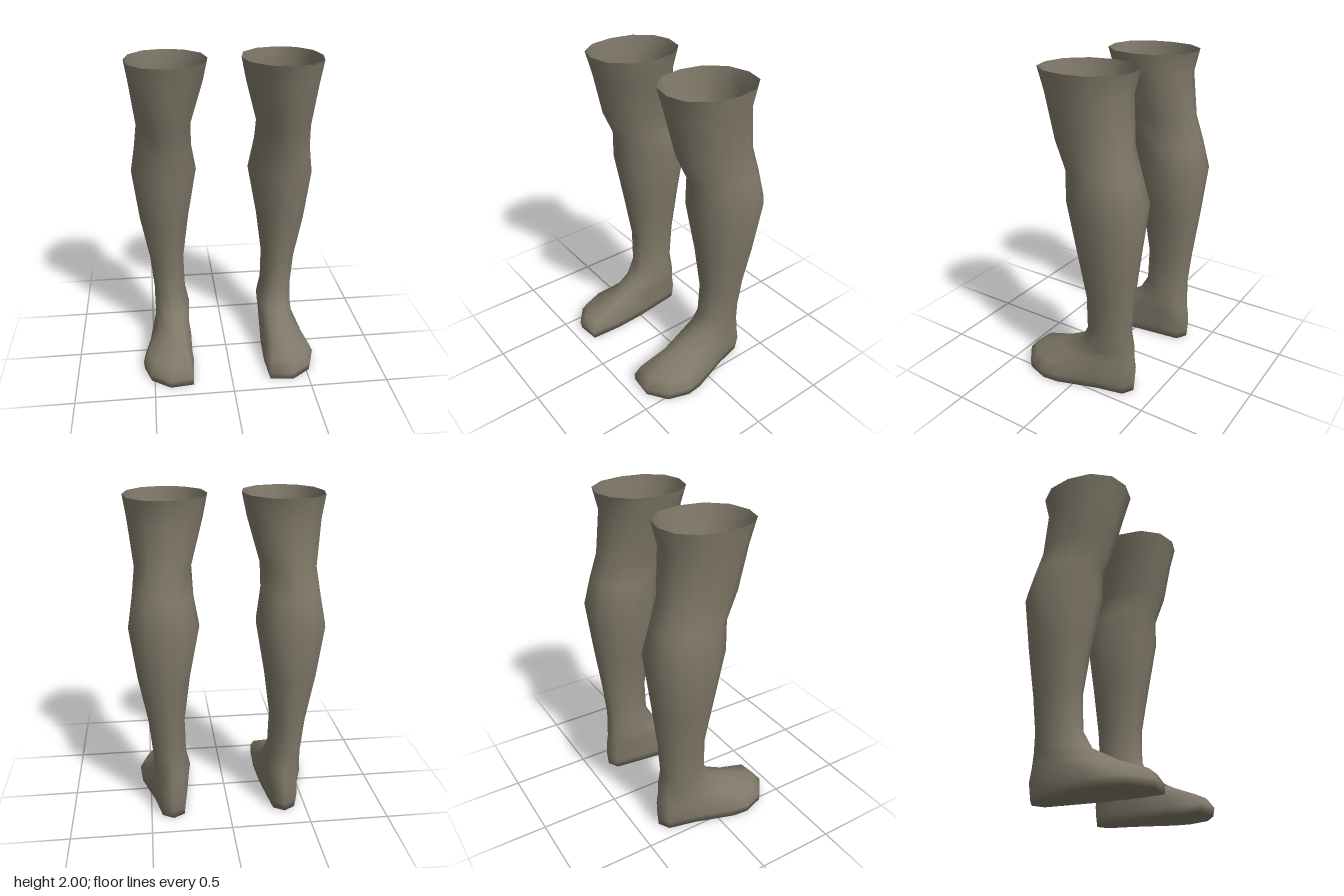
import * as THREE from 'three';

const SIDES = 12;

// Foot outlines: [x, z] pairs running outer side, toes, inner side, heel
const sole = [.555, .10, .565, .20, .52, .335, .40, .42, .25, .405, .24, .20,
  .25, 0, .275, -.20, .29, -.32, .36, -.36, .43, -.32, .47, -.15];
const welt = [.555, .10, .57, .20, .525, .335, .40, .43, .25, .41, .237, .20,
  .245, 0, .27, -.20, .285, -.325, .36, -.365, .435, -.325, .475, -.15];
const toeTop = [.525, .08, .54, .18, .495, .30, .39, .385, .265, .37, .245, .19,
  .24, 0, .262, -.20, .285, -.33, .36, -.37, .44, -.33, .478, -.15];
const instep = [.47, -.03, .455, .06, .41, .14, .35, .188, .29, .165, .255, .08,
  .25, -.04, .255, -.20, .285, -.32, .36, -.36, .435, -.32, .478, -.16];
const foot = [[0, sole], [.05, welt], [.11, toeTop], [.19, instep]];

// Leg sections: y, inner x, outer x, middle x, back z, front z, z of the widest place
const leg = [
  [.28, .24, .475, .355, -.345, .02, -.17],
  [.40, .265, .475, .37, -.335, -.045, -.19],
  [.62, .27, .495, .375, -.355, -.05, -.20],
  [.92, .23, .55, .38, -.39, -.005, -.20],
  [1.25, .17, .59, .38, -.425, .06, -.22],
  [1.43, .20, .56, .38, -.38, .065, -.18],
  [1.59, .205, .54, .37, -.335, .145, -.11],
  [1.86, .13, .57, .36, -.30, .20, -.06],
  [2.00, .10, .59, .36, -.335, .24, -.05],
];

// Lopsided oval made of four quarter ellipses
function oval([, inX, outX, midX, backZ, frontZ, midZ]) {
  const points = [];
  for (let j = 0; j < SIDES; j++) {
    const a = (j / SIDES) * Math.PI * 2;
    const fill = j % 3 ? 1.025 : 1;
    const c = Math.cos(a) * fill, s = Math.sin(a) * fill;
    points.push(midX + c * (c > 0 ? outX - midX : midX - inX),
      midZ + s * (s > 0 ? frontZ - midZ : midZ - backZ));
  }
  return points;
}

// Skin the stacked rings, close the sole and leave the top open
function legGeometry(side) {
  const rings = [...foot, ...leg.map((r) => [r[0], oval(r)])];
  const positions = [], index = [];
  const face = (a, b, c) => (side > 0 ? index.push(a, b, c) : index.push(a, c, b));
  for (const [y, outline] of rings) {
    for (let j = 0; j < SIDES; j++) positions.push(side * outline[2 * j], y, outline[2 * j + 1]);
  }
  for (let i = 0; i < rings.length - 1; i++) {
    for (let j = 0; j < SIDES; j++) {
      const a = i * SIDES + j, b = i * SIDES + (j + 1) % SIDES;
      face(a, a + SIDES, b);
      face(b, a + SIDES, b + SIDES);
    }
  }
  const centre = rings.length * SIDES;
  positions.push(side * .38, 0, .05);
  for (let j = 0; j < SIDES; j++) face(centre, j, (j + 1) % SIDES);

  const geometry = new THREE.BufferGeometry();
  geometry.setAttribute('position', new THREE.Float32BufferAttribute(positions, 3));
  geometry.setIndex(index);
  geometry.computeVertexNormals();
  return geometry;
}

export function createModel() {
  const model = new THREE.Group();
  model.name = 'legs';
  const material = new THREE.MeshStandardMaterial({ color: 0x7f7868, side: THREE.DoubleSide });
  material.name = 'greyBrown';
  for (const [name, side] of [['leftLeg', 1], ['rightLeg', -1]]) {
    const mesh = new THREE.Mesh(legGeometry(side), material);
    mesh.name = name;
    model.add(mesh);
  }
  return model;
}
